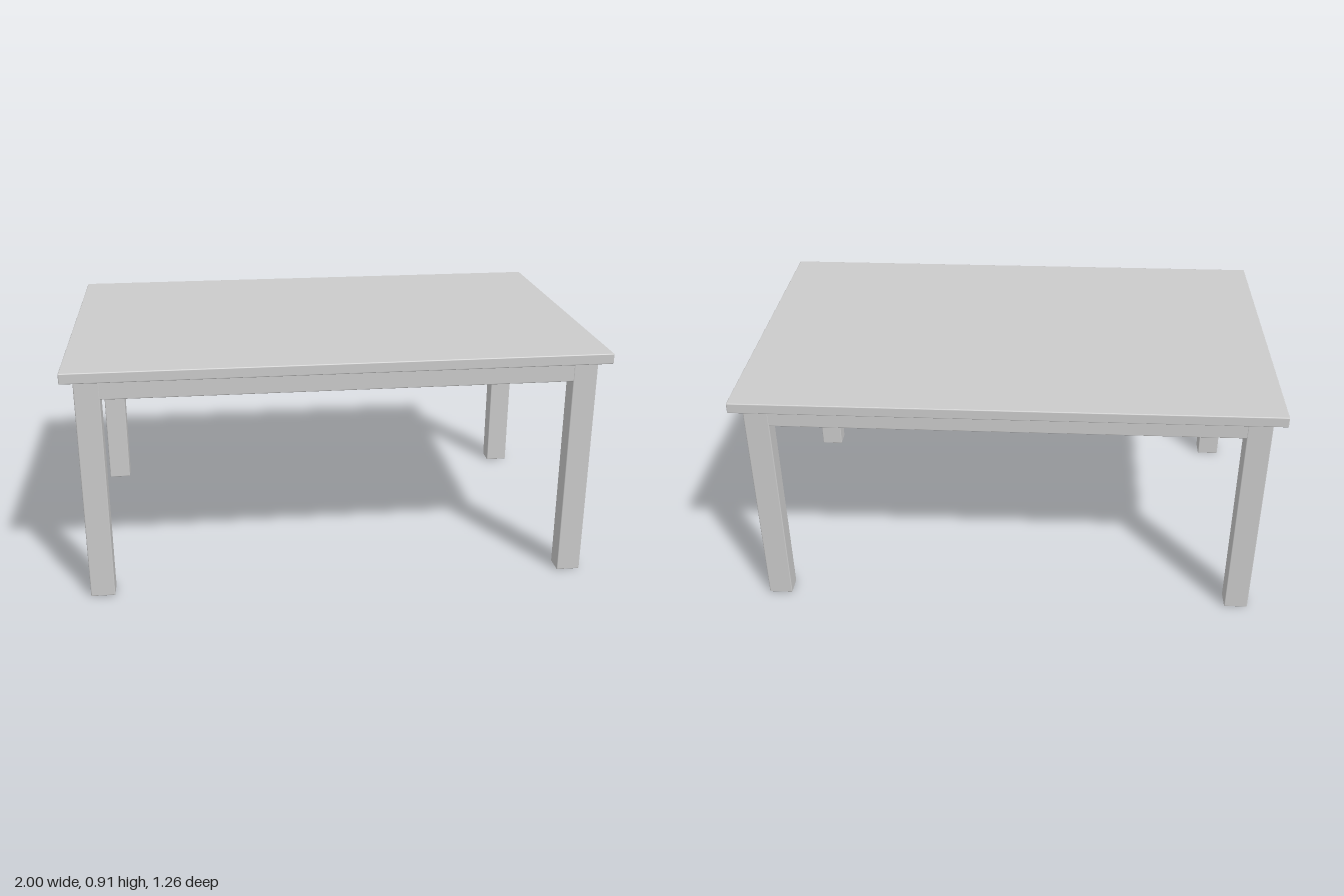
import * as THREE from 'three';
import { RoundedBoxGeometry } from 'three/addons/geometries/RoundedBoxGeometry.js';

const material = new THREE.MeshStandardMaterial({ color: 0xcccccc });

// Softly rounded block spanning y0 to y1, centred on (x, z)
function block(name, width, depth, y0, y1, x = 0, z = 0) {
  const geometry = new RoundedBoxGeometry(width, y1 - y0, depth, 2, 0.004);
  const mesh = new THREE.Mesh(geometry, material);
  mesh.name = name;
  mesh.position.set(x, (y0 + y1) / 2, z);
  return mesh;
}

export function createModel() {
  const table = new THREE.Group();
  table.name = 'table';

  // Overhanging top
  table.add(block('tableTop', 2, 1.256, 0.87, 0.91));

  // Closed apron under the top, a hair inside the outer leg faces
  table.add(block('apron', 1.912, 1.174, 0.793, 0.875));

  // Four corner legs
  for (const [side, sx] of [['Left', 1], ['Right', -1]]) {
    for (const [end, sz] of [['front', 1], ['back', -1]]) {
      table.add(block(`${end}${side}Leg`, 0.091, 0.075, 0, 0.872, sx * 0.9115, sz * 0.5505));
    }
  }
  return table;
}
